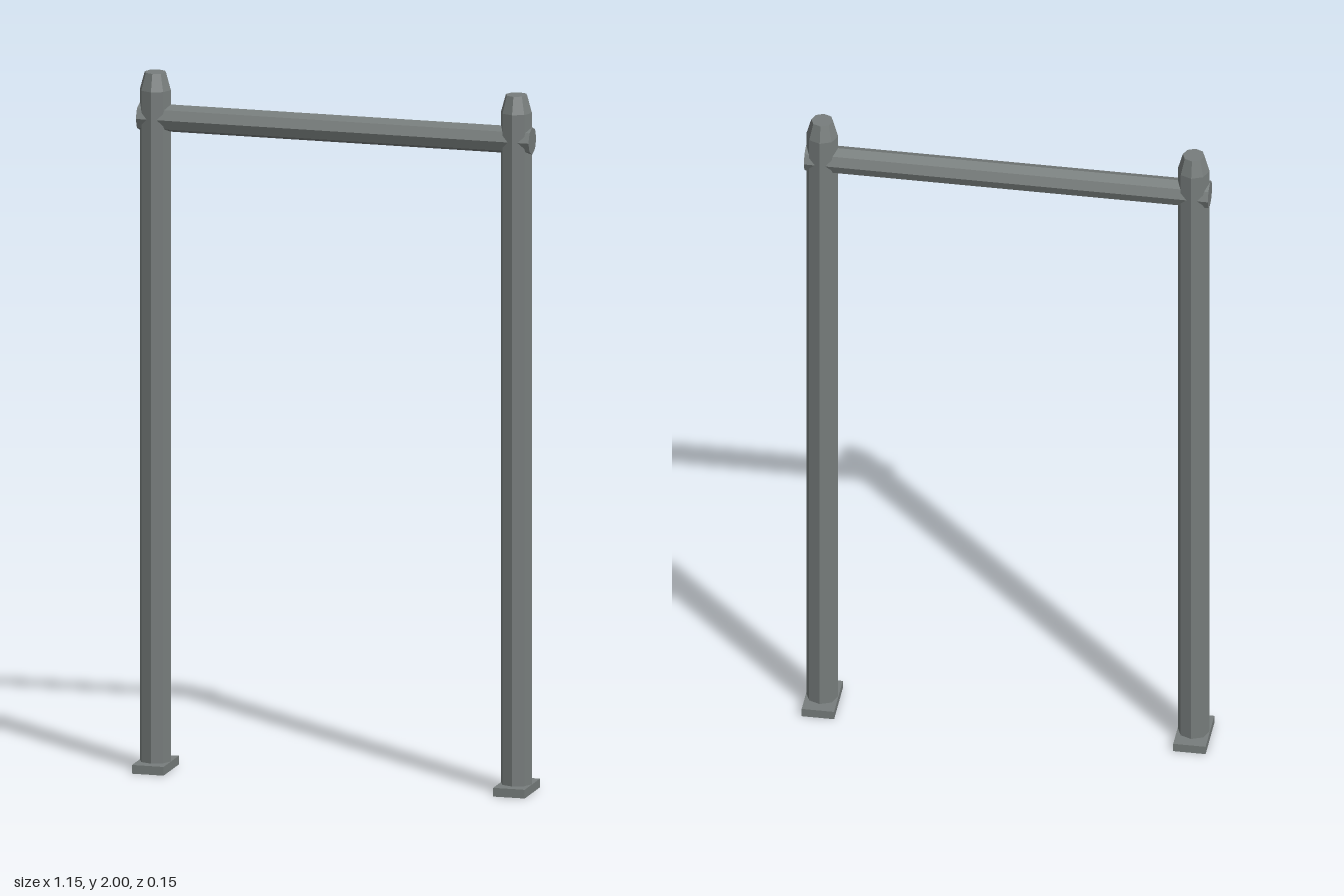
import * as THREE from 'three';

export function createModel() {
  const model = new THREE.Group();
  model.name = 'pullUpBar';

  const steel = new THREE.MeshStandardMaterial({ color: 0x777d7c });
  steel.name = 'grey steel';
  steel.flatShading = true;
  steel.side = THREE.DoubleSide;

  const add = (name, geometry, parent) => {
    const mesh = new THREE.Mesh(geometry, steel);
    mesh.name = name;
    parent.add(mesh);
    return mesh;
  };

  // Eight-sided hollow post with a tapered, flat top
  const profile = [[0.045, 0.01], [0.045, 1.95], [0.031, 2], [0, 2]];
  const postGeometry = new THREE.LatheGeometry(profile.map(([r, y]) => new THREE.Vector2(r, y)), 8);

  // Foot plate with an eight-sided opening below the post
  const outline = new THREE.Shape([[-0.046, -0.076], [0.046, -0.076], [0.046, 0.076], [-0.046, 0.076]]
    .map(([x, y]) => new THREE.Vector2(x, y)));
  const opening = [];
  for (let i = 0; i < 8; i++) {
    const a = -i * Math.PI / 4;
    opening.push(new THREE.Vector2(0.042 * Math.cos(a), 0.042 * Math.sin(a)));
  }
  outline.holes.push(new THREE.Path(opening));
  const plateGeometry = new THREE.ExtrudeGeometry(outline, { depth: 0.025, bevelEnabled: false });
  plateGeometry.rotateX(-Math.PI / 2);

  for (const side of [-1, 1]) {
    const upright = new THREE.Group();
    upright.name = side > 0 ? 'leftUpright' : 'rightUpright';
    upright.position.x = side * 0.527;
    add('post', postGeometry, upright);
    add('footPlate', plateGeometry, upright);
    model.add(upright);
  }

  // Crossbar running through both posts
  const barGeometry = new THREE.CylinderGeometry(0.039, 0.039, 1.146, 8);
  barGeometry.rotateZ(Math.PI / 2);
  add('crossbar', barGeometry, model).position.y = 1.87;

  return model;
}
